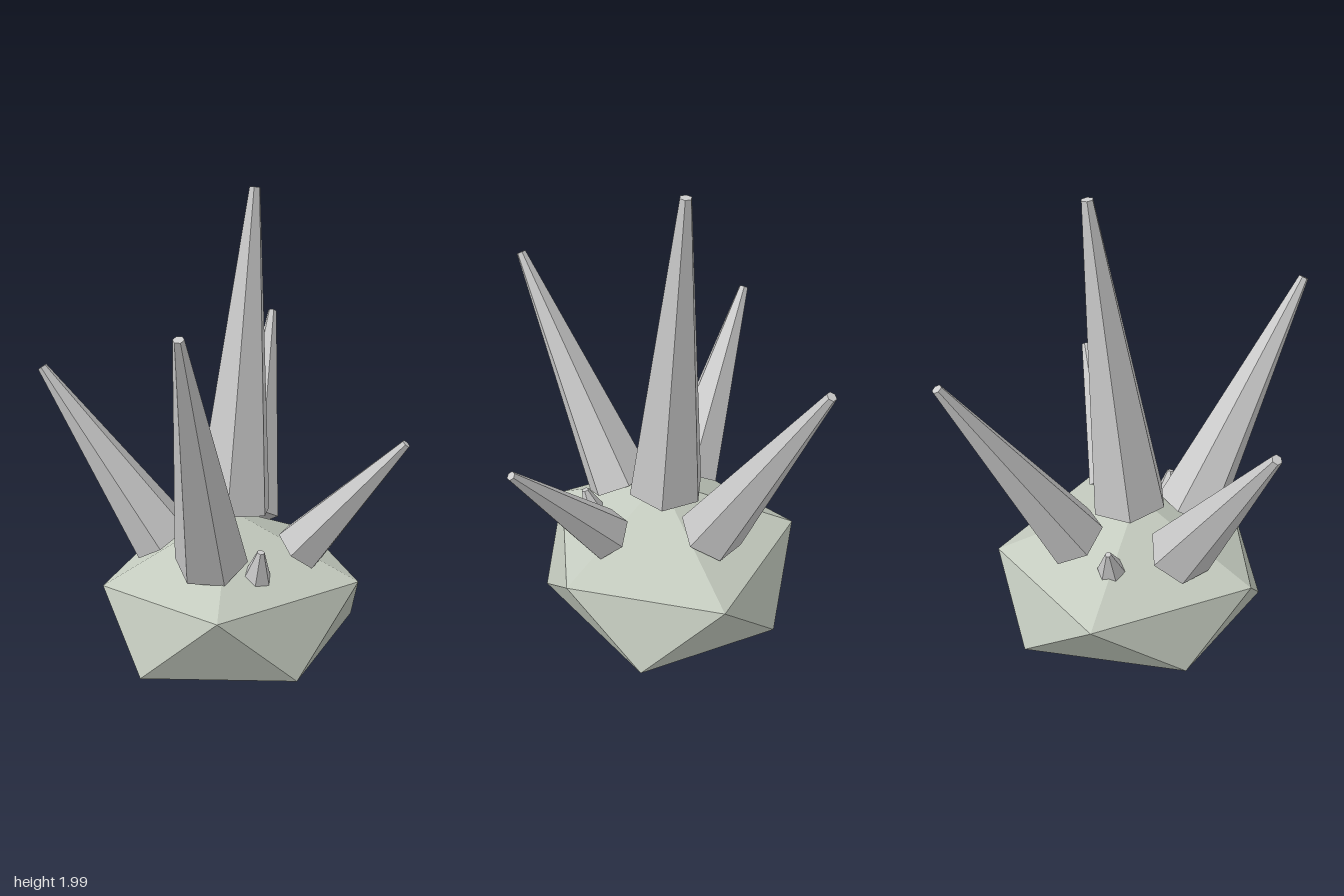
import * as THREE from 'three';
import { ConvexGeometry } from 'three/addons/geometries/ConvexGeometry.js';

const v = (x, y, z) => new THREE.Vector3(x, y, z);

// Squashed icosahedral rock: two poles and two staggered five-point rings
function createRock() {
  const points = [
    v(-0.02, 0.72, -0.04), v(-0.02, 0.005, -0.04),
    // upper ring
    v(0.57, 0.465, -0.05), v(0.18, 0.465, 0.46), v(-0.46, 0.455, 0.25),
    v(-0.47, 0.46, -0.33), v(0.18, 0.475, -0.58),
    // lower ring
    v(0.46, 0.17, 0.26), v(-0.2, 0.175, 0.43), v(-0.56, 0.18, -0.05),
    v(-0.2, 0.175, -0.5), v(0.46, 0.17, -0.35),
  ];
  const material = new THREE.MeshStandardMaterial({ color: 0xc4cbbf, flatShading: true });
  const rock = new THREE.Mesh(new ConvexGeometry(points), material);
  rock.name = 'rockBase';
  return rock;
}

// Six-sided tapered spike from base centre to tip, one corner turned sideways to its lean
function createSpike(name, base, tip, baseRadius, tipRadius, material) {
  const axis = tip.clone().sub(base);
  const geometry = new THREE.CylinderGeometry(tipRadius, baseRadius, axis.length(), 6);
  const up = axis.clone().normalize();
  const side = v(axis.z, 0, -axis.x).normalize();
  const lean = up.clone().cross(side);
  const spike = new THREE.Mesh(geometry, material);
  spike.quaternion.setFromRotationMatrix(new THREE.Matrix4().makeBasis(lean, up, side));
  spike.position.copy(base).add(tip).multiplyScalar(0.5);
  spike.name = name;
  return spike;
}

export function createModel() {
  const group = new THREE.Group();
  group.name = 'crystalCluster';
  group.add(createRock());

  const crystal = new THREE.MeshStandardMaterial({ color: 0xcccccc, flatShading: true });
  // name, base centre, tip centre, base radius, tip radius
  const spikes = [
    ['centreCrystal', v(0.015, 0.715, -0.05), v(0.155, 1.997, -0.05), 0.163, 0.023],
    ['rightFrontCrystal', v(-0.25, 0.595, 0.05), v(-0.695, 1.54, 0.293), 0.145, 0.02],
    ['rightBackCrystal', v(-0.185, 0.595, -0.255), v(-0.458, 1.31, -0.64), 0.135, 0.02],
    ['leftCrystal', v(0.245, 0.605, -0.15), v(0.688, 1.435, -0.35), 0.135, 0.02],
    ['frontCrystal', v(0.075, 0.595, 0.245), v(0.185, 1.07, 0.645), 0.108, 0.018],
    ['smallFrontCrystal', v(-0.16, 0.525, 0.205), v(-0.178, 0.648, 0.238), 0.06, 0.015],
    ['smallBackCrystal', v(0.095, 0.575, -0.33), v(0.106, 0.697, -0.38), 0.056, 0.012],
  ];
  for (const spike of spikes) group.add(createSpike(...spike, crystal));
  return group;
}
